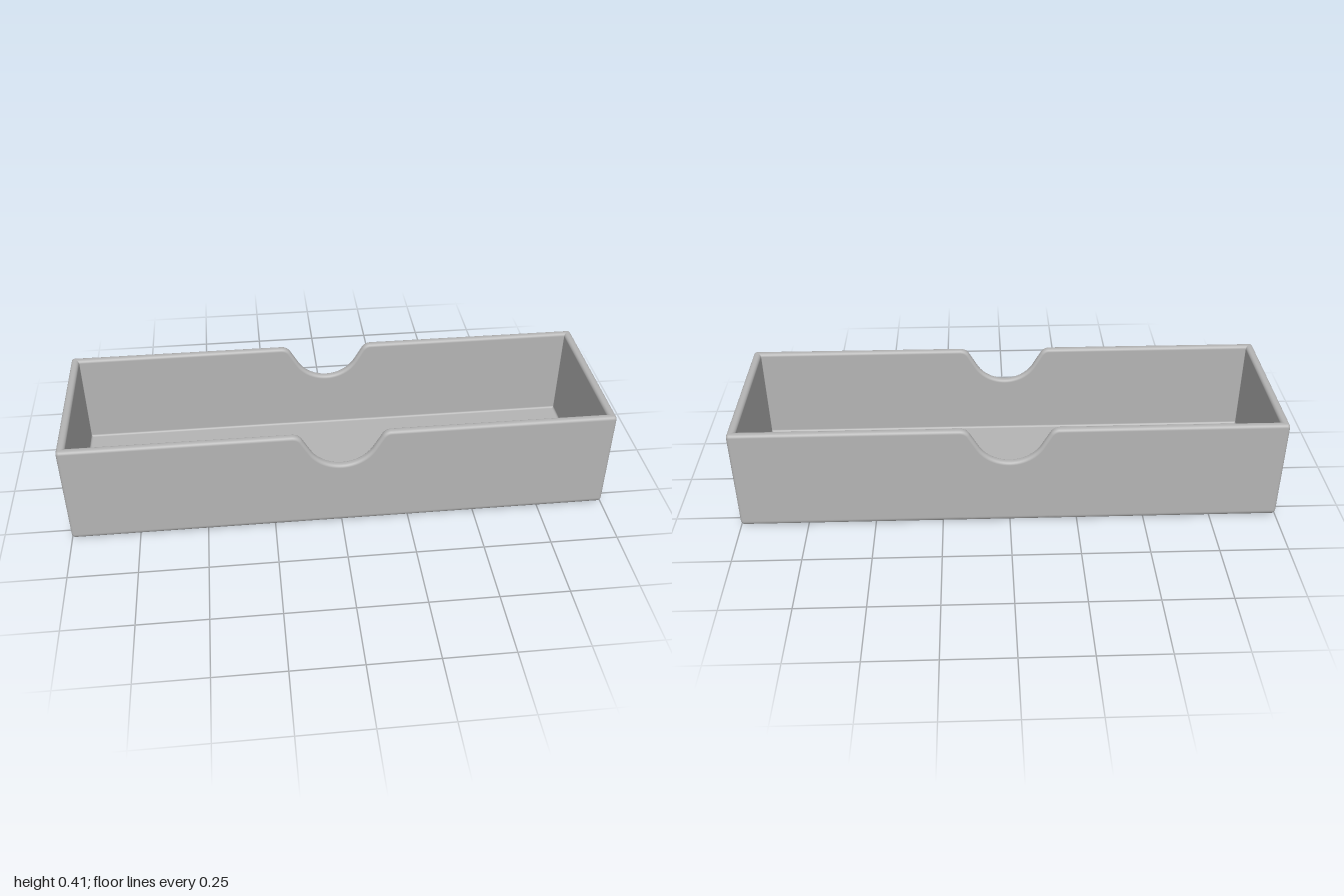
import * as THREE from 'three';

const HX = 1, HZ = 0.305, HEIGHT = 0.405;       // outer half sizes and height
const WALL = 0.03, FLOOR = 0.04;
const BASE_R = 0.025, RIM_R = 0.012, FLOOR_R = 0.008, CORNER_R = 0.012;

// Finger notch: a bowl arc with a rounded shoulder either side, as points with outward normals
function notchProfile() {
  const pts = [];
  const bowlR = 0.13, bowlY = 0.397, shoulderR = 0.04, shoulderX = 0.178;
  const half = [];
  for (let i = 0; i <= 8; i++) {
    const a = THREE.MathUtils.degToRad(90 + (60 * i) / 8);
    const nx = Math.cos(a), ny = Math.sin(a);
    half.push({ x: shoulderX + nx * shoulderR, y: HEIGHT - shoulderR + ny * shoulderR, nx, ny });
  }
  for (let i = 0; i <= 12; i++) {
    const a = THREE.MathUtils.degToRad(-30 - (60 * i) / 12);
    const nx = -Math.cos(a), ny = -Math.sin(a);
    half.push({ x: -nx * bowlR, y: bowlY - ny * bowlR, nx, ny });
  }
  pts.push(...half);
  for (const p of half.slice(0, -1).reverse()) pts.push({ x: -p.x, y: p.y, nx: -p.nx, ny: p.ny });
  return pts;                                    // runs from +x to -x
}

// One horizontal loop around the box; rim loops (y undefined) follow the notch
function boxLoop({ inset, y, drop }, notch) {
  const loop = [];
  const rim = y === undefined;
  const r = Math.max(0.002, CORNER_R - inset);
  const corner = (sx, sz, start) => {
    for (let i = 0; i <= 5; i++) {
      const a = start + (i / 5) * Math.PI / 2;
      loop.push([
        sx * (HX - inset - r) + r * Math.cos(a),
        rim ? HEIGHT - drop : y,
        sz * (HZ - inset - r) + r * Math.sin(a),
      ]);
    }
  };
  const side = (s) => {
    for (const p of notch) {
      loop.push(rim
        ? [s * (p.x - p.nx * drop), p.y - p.ny * drop, s * (HZ - inset)]
        : [s * p.x, y, s * (HZ - inset)]);
    }
  };
  corner(1, 1, 0);
  side(1);
  corner(-1, 1, Math.PI / 2);
  corner(-1, -1, Math.PI);
  side(-1);
  corner(1, -1, Math.PI * 1.5);
  return loop;
}

// Wall section: rounded base edge, outer wall, rounded rim, inner wall, floor edge
function wallSection() {
  const rows = [];
  const n = 6;
  const arc = (fn) => {
    for (let i = 0; i <= n; i++) {
      const a = (i / n) * Math.PI / 2;
      rows.push(fn(1 - Math.cos(a), 1 - Math.sin(a)));
    }
  };
  arc((c, s) => ({ inset: BASE_R * s, y: BASE_R * c }));
  arc((c, s) => ({ inset: RIM_R * c, drop: RIM_R * s }));
  arc((c, s) => ({ inset: WALL - RIM_R * s, drop: RIM_R * c }));
  arc((c, s) => ({ inset: WALL + FLOOR_R * c, y: FLOOR + FLOOR_R * s }));
  return rows;
}

function trayGeometry() {
  const notch = notchProfile();
  const loops = wallSection().map((row) => boxLoop(row, notch));
  const count = loops[0].length;
  const positions = loops.flat(2);
  const index = [];
  for (let k = 0; k < loops.length - 1; k++) {
    for (let i = 0; i < count; i++) {
      const j = (i + 1) % count;
      const a = k * count + i, b = k * count + j;
      index.push(a, a + count, b, b, a + count, b + count);
    }
  }
  // Underside and inside floor
  const under = loops.length * count, top = (loops.length - 1) * count;
  positions.push(0, 0, 0, 0, FLOOR, 0);
  for (let i = 0; i < count; i++) {
    const j = (i + 1) % count;
    index.push(under, i, j, under + 1, top + j, top + i);
  }
  const geometry = new THREE.BufferGeometry();
  geometry.setAttribute('position', new THREE.Float32BufferAttribute(positions, 3));
  geometry.setIndex(index);
  geometry.computeVertexNormals();
  return geometry;
}

export function createModel() {
  const group = new THREE.Group();
  group.name = 'openTray';
  const grey = new THREE.MeshStandardMaterial({ color: 0xb4b4b4 });
  grey.name = 'plain grey';
  const tray = new THREE.Mesh(trayGeometry(), grey);
  tray.name = 'notchedTray';
  group.add(tray);
  return group;
}
